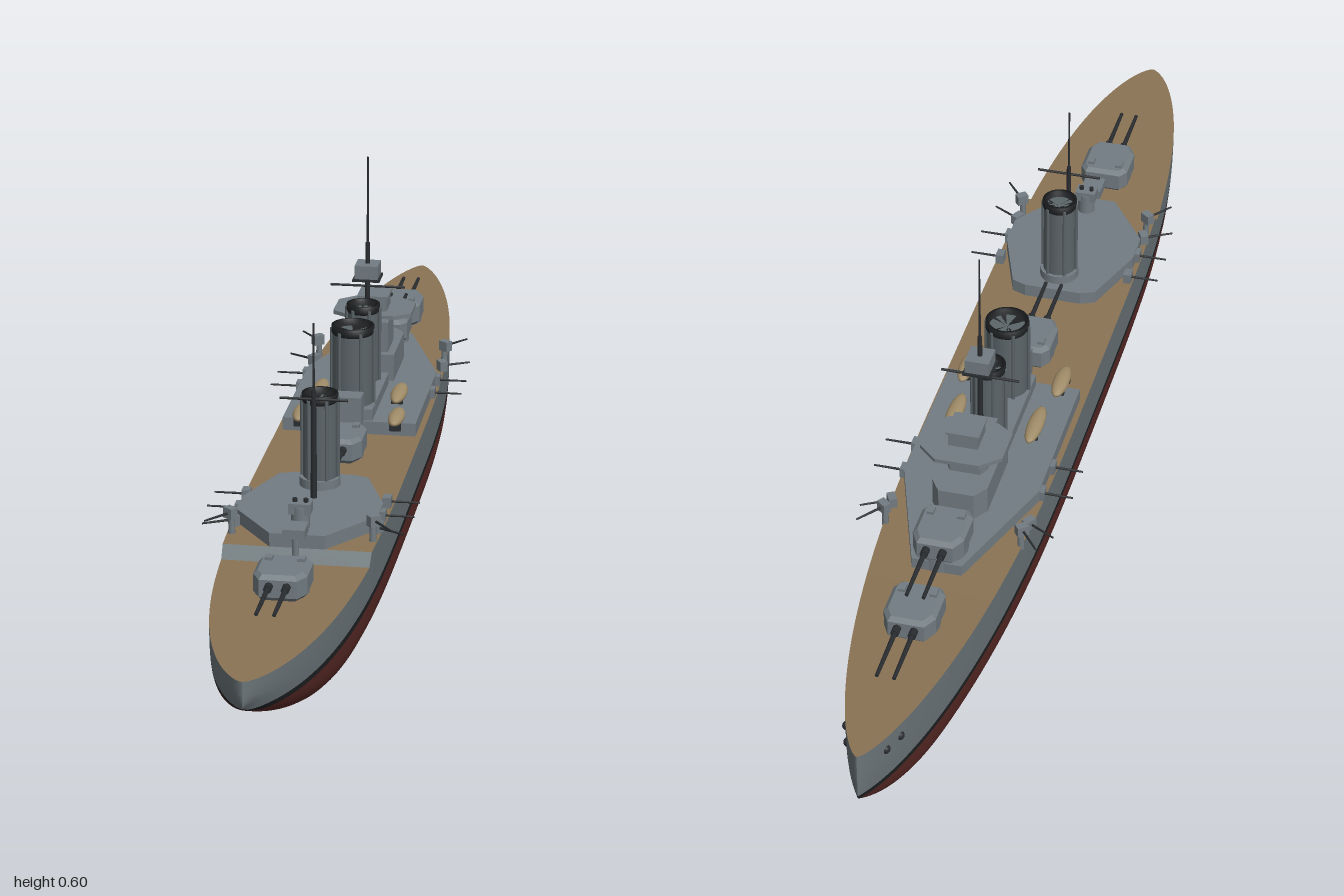
import * as THREE from 'three';

const mat = (color, side = THREE.FrontSide) => new THREE.MeshStandardMaterial({ color, side });
const M = {
  hull: mat(0x6a7478, THREE.DoubleSide), red: mat(0x5a2a26, THREE.DoubleSide), black: mat(0x1e2022, THREE.DoubleSide),
  deck: mat(0x8a7354, THREE.DoubleSide), grey: mat(0x727c82), funnel: mat(0x5c6569), dark: mat(0x2a2d30), boat: mat(0xa08c68),
};

function add(parent, name, geo, material, x = 0, y = 0, z = 0) {
  const m = new THREE.Mesh(geo, material);
  m.name = name;
  m.position.set(x, y, z);
  parent.add(m);
  return m;
}
// Box from its centre in plan and its bottom and top heights
const box = (p, name, x, z, w, d, y0, y1, material = M.grey) =>
  add(p, name, new THREE.BoxGeometry(w, y1 - y0, d), material, x, (y0 + y1) / 2, z);
const cyl = (p, name, x, z, r, y0, y1, material = M.grey, rTop = r, n = 24) =>
  add(p, name, new THREE.CylinderGeometry(rTop, r, y1 - y0, n), material, x, (y0 + y1) / 2, z);
// Round rod between two points
function rod(p, name, a, b, r, material = M.dark, rEnd = r) {
  const A = new THREE.Vector3(...a), B = new THREE.Vector3(...b), d = B.clone().sub(A);
  const m = add(p, name, new THREE.CylinderGeometry(rEnd, r, d.length(), 8), material);
  m.position.copy(A.add(B).multiplyScalar(0.5));
  m.quaternion.setFromUnitVectors(new THREE.Vector3(0, 1, 0), d.normalize());
  return m;
}
// Vertical prism from half an outline in (x, z), mirrored over x = 0
function prism(p, name, half, y0, y1, bevel = 0, material = M.grey) {
  const pts = [...half, ...half.map(([x, z]) => [-x, z]).reverse()];
  const geo = new THREE.ExtrudeGeometry(new THREE.Shape(pts.map(([x, z]) => new THREE.Vector2(x, -z))), {
    depth: y1 - y0 - bevel, bevelEnabled: bevel > 0, bevelThickness: bevel, bevelSize: bevel,
    bevelOffset: -bevel, bevelSegments: 1, steps: 1,
  });
  geo.rotateX(-Math.PI / 2);
  return add(p, name, geo, material, 0, y0, 0);
}

// Hull form: half beam, keel height, deck height and half width at a height
const beam = z => z < -0.1 ? 0.126 * Math.max(0, 1 - ((-z - 0.1) / 0.9) ** 2.5) ** 0.7
  : z > 0.15 ? 0.126 * Math.max(0, 1 - ((z - 0.15) / 0.85) ** 3.1) ** 0.65 : 0.126;
const keel = z => z < -0.7 ? 0.085 * ((-z - 0.7) / 0.3) ** 3 : z > 0.55 ? 0.1 * ((z - 0.55) / 0.45) ** 2.5 : 0;
const deckY = z => z >= 0.52 ? 0.143 : z > 0.5 ? 0.162 - 0.019 * (z - 0.5) / 0.02
  : 0.162 + (z < 0 ? 0.011 * z * z : 0);
function halfWidth(z, y) {
  const k = keel(z), p = 6 - 3.4 * z * z;
  const t = THREE.MathUtils.clamp((y - k) / (0.155 - k), 0, 1);
  return beam(z) * (1 - (1 - t) ** p) ** (1 / p);
}
// Skin over the cross-sections given by row(z)
function skin(p, name, zs, row, material) {
  const pos = [], idx = [];
  const n = row(0).length;
  zs.forEach((z, i) => row(z).forEach(([x, y], j) => {
    pos.push(x, y, z);
    if (i && j) {
      const d = i * n + j, c = d - 1, b = d - n, a = b - 1;
      idx.push(a, b, c, b, d, c);
    }
  }));
  const geo = new THREE.BufferGeometry();
  geo.setAttribute('position', new THREE.Float32BufferAttribute(pos, 3));
  geo.setIndex(idx);
  geo.computeVertexNormals();
  return add(p, name, geo, material);
}

function buildHull(g) {
  const zs = [0.5, 0.52];
  for (let i = 0; i <= 80; i++) zs.push(-Math.cos(Math.PI * i / 80));
  zs.sort((a, b) => a - b);
  const half = (z, y0, y1, n, e) => Array.from({ length: n + 1 }, (_, j) => {
    const y = y0 + (y1 - y0) * (j / n) ** e;
    return [halfWidth(z, y), y];
  });
  const mirror = r => r.map(([x, y]) => [-x, y]).reverse();
  const lv = (z, y) => Math.max(y, keel(z));
  skin(g, 'lowerHull', zs, z => {
    const r = half(z, keel(z), lv(z, 0.08), 10, 2.5);
    return [...mirror(r), ...r.slice(1)];
  }, M.red);
  const bands = [['waterlineBand', z => lv(z, 0.08), z => lv(z, 0.09), M.black],
    ['upperHull', z => lv(z, 0.09), deckY, M.hull]];
  for (const [name, lo, hi, m] of bands) {
    skin(g, name + 'Left', zs, z => half(z, lo(z), hi(z), 4, 1), m);
    skin(g, name + 'Right', zs, z => mirror(half(z, lo(z), hi(z), 4, 1)), m);
  }
  const across = z => [1, 0, -1].map(s => [s * halfWidth(z, deckY(z)), deckY(z)]);
  skin(g, 'mainDeck', zs.filter(z => z <= 0.5), across, M.deck);
  skin(g, 'deckStep', [0.5, 0.52], across, M.hull);
  skin(g, 'quarterDeck', zs.filter(z => z >= 0.52), across, M.deck);
  // Hawse holes near the bow
  for (const s of [-1, 1]) for (const z of [-0.91, -0.945]) {
    add(g, 'hawseHole', new THREE.SphereGeometry(0.008, 12, 8), M.dark, s * (halfWidth(z, 0.147) - 0.003), 0.147, z);
  }
}

// Twin gun turret; dir is the z direction of the guns
function turret(g, z, y0, deck, dir) {
  const t = new THREE.Group();
  t.name = 'turret';
  t.position.set(0, 0, z);
  if (dir < 0) t.rotation.y = Math.PI;
  g.add(t);
  cyl(t, 'barbette', 0, 0, 0.042, deck - 0.005, y0 + 0.002);
  prism(t, 'turretHouse', [[0.03, 0.05], [0.043, 0.026], [0.043, -0.032], [0.032, -0.048]], y0, y0 + 0.036, 0.007);
  for (const s of [-1, 1]) {
    box(t, 'sightHood', s * 0.026, -0.024, 0.012, 0.016, y0 + 0.034, y0 + 0.041);
    rod(t, 'gunSleeve', [s * 0.014, y0 + 0.019, 0.04], [s * 0.014, y0 + 0.019, 0.065], 0.007);
    rod(t, 'gunBarrel', [s * 0.014, y0 + 0.019, 0.05], [s * 0.014, y0 + 0.019, 0.165], 0.0045, M.dark, 0.0032);
  }
}

function funnel(g, z, r) {
  const f = new THREE.Group();
  f.name = 'funnel';
  f.position.z = z;
  g.add(f);
  cyl(f, 'funnelBase', 0, 0, r + 0.006, 0.18, 0.2);
  cyl(f, 'funnelCasing', 0, 0, r, 0.19, 0.333, M.funnel, r, 32);
  const rim = [[r, 0.33], [r + 0.002, 0.333], [r + 0.002, 0.345], [r - 0.004, 0.345], [r - 0.004, 0.333], [0, 0.333]];
  add(f, 'funnelCap', new THREE.LatheGeometry(rim.map(q => new THREE.Vector2(...q)), 32), M.black);
  for (let i = 0; i < 6; i++) {
    const a = (i + 0.5) * Math.PI / 3, x = Math.sin(a) * (r + 0.002), c = Math.cos(a) * (r + 0.002);
    rod(f, 'steamPipe', [x, 0.19, c], [x, 0.338, c], 0.003, M.funnel);
  }
}

function mast(g, z, yTop, yJoint, yardY, yardHalf) {
  rod(g, 'lowerMast', [0, 0.18, z], [0, yJoint, z], 0.0055, M.dark, 0.004);
  rod(g, 'topMast', [0, yJoint, z], [0, yTop, z], 0.0022, M.dark, 0.0014);
  rod(g, 'yard', [-yardHalf, yardY, z], [yardHalf, yardY, z], 0.0022);
}

// Side gun: a = swing from straight outboard, positive toward the stern
function sideGun(g, s, z, y, a, length, x = 0.117) {
  const dx = Math.cos(a) * s, dz = Math.sin(a);
  rod(g, 'sideGunBarrel', [s * x, y, z], [s * x + dx * length, y, z + dz * length], 0.0022, M.dark, 0.0016);
  const h = box(g, 'sideGunShield', s * x, z, 0.014, 0.02, y - 0.009, y + 0.009);
  h.rotation.y = -a * s;
}

export function createModel() {
  const g = new THREE.Group();
  g.name = 'battleship';
  buildHull(g);

  // Main battery
  turret(g, -0.675, 0.177, 0.167, -1);
  turret(g, -0.505, 0.199, 0.165, -1);
  turret(g, 0.06, 0.17, 0.162, 1);
  turret(g, 0.635, 0.15, 0.143, 1);

  // Deckhouses
  prism(g, 'forwardDeckhouse', [[0.042, -0.545], [0.116, -0.33], [0.116, -0.05]], 0.155, 0.185);
  prism(g, 'aftDeckhouse', [[0.05, 0.215], [0.075, 0.225], [0.116, 0.34], [0.116, 0.4], [0.045, 0.5]], 0.155, 0.185);

  // Bridge
  prism(g, 'lowerBridge', [[0.03, -0.425], [0.047, -0.4], [0.047, -0.27]], 0.185, 0.233);
  prism(g, 'bridgeTower', [[0.026, -0.37], [0.034, -0.355], [0.034, -0.285]], 0.233, 0.288);
  prism(g, 'bridgePlatform', [[0.037, -0.42], [0.07, -0.39], [0.07, -0.325], [0.04, -0.305]], 0.287, 0.294);
  box(g, 'bridgeHouse', 0, -0.355, 0.05, 0.05, 0.294, 0.318);
  box(g, 'bridgeRoof', 0, -0.355, 0.056, 0.056, 0.318, 0.322);

  // Funnels
  funnel(g, -0.217, 0.027);
  funnel(g, -0.095, 0.035);
  funnel(g, 0.265, 0.028);
  box(g, 'funnelHouse', 0, -0.155, 0.08, 0.2, 0.185, 0.205);
  box(g, 'winchHouse', 0, -0.04, 0.05, 0.035, 0.185, 0.236);

  // Masts and the lookout top
  mast(g, -0.27, 0.596, 0.44, 0.36, 0.066);
  mast(g, 0.33, 0.485, 0.37, 0.355, 0.056);
  box(g, 'lookoutFloor', 0, -0.27, 0.048, 0.05, 0.374, 0.378, M.dark);
  box(g, 'lookoutTop', 0, -0.27, 0.041, 0.042, 0.378, 0.402);

  // Aft control position
  cyl(g, 'aftDirector', 0, 0.465, 0.015, 0.185, 0.222);
  box(g, 'aftDirectorHead', 0, 0.465, 0.036, 0.026, 0.21, 0.228);
  for (const s of [-1, 1]) cyl(g, 'aftPeriscope', s * 0.009, 0.465, 0.004, 0.228, 0.234, M.dark, 0.004, 8);
  box(g, 'aftPlatform', 0, 0.515, 0.036, 0.042, 0.19, 0.206);
  rod(g, 'platformPost', [0, 0.15, 0.515], [0, 0.19, 0.515], 0.006, M.grey);

  // Paired boats and secondary guns
  for (const s of [-1, 1]) {
    for (const [x, z, len] of [[0.07, -0.175, 0.1], [0.083, -0.05, 0.085]]) {
      const b = add(g, 'boat', new THREE.SphereGeometry(1, 20, 12), M.boat, s * x, 0.196, z);
      b.scale.set(0.014, 0.01, len / 2);
      for (const e of [-1, 1]) box(g, 'boatChock', s * x, z + e * len * 0.25, 0.02, 0.006, 0.178, 0.19, M.dark);
    }
    for (const [z, a] of [[-0.4, -0.5], [-0.32, 0], [-0.25, 0], [0.3, 0], [0.365, 0], [0.42, 0.5]]) {
      sideGun(g, s, z, 0.174, a, 0.054);
    }
    for (const [z, a] of [[-0.445, -0.9], [0.45, 0.9]]) {
      sideGun(g, s, z, 0.197, a, 0.055);
      cyl(g, 'gunPedestal', s * 0.115, z, 0.006, 0.158, 0.19, M.grey, 0.005, 10);
    }
  }
  return g;
}
